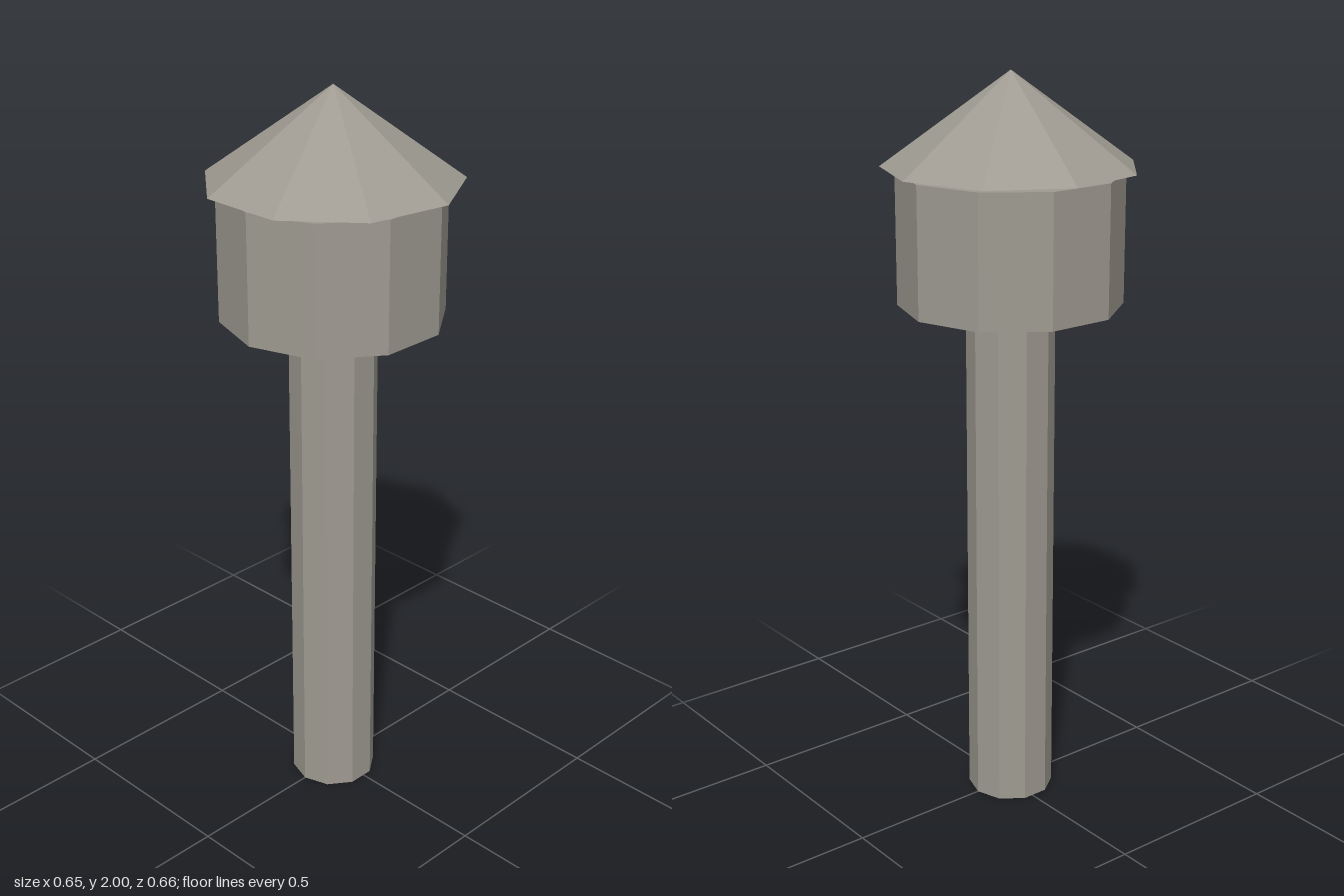
import * as THREE from 'three';

export function createModel() {
  const group = new THREE.Group();
  const stone = new THREE.MeshStandardMaterial({ color: 0x9f9b92 });
  stone.name = 'warmGrey';

  // Upright faceted prism or cone with one corner pointing to +x
  function addPart(name, topRadius, bottomRadius, bottom, top, sides) {
    const geometry = new THREE.CylinderGeometry(
      topRadius, bottomRadius, top - bottom, sides, 1, false, Math.PI / 2
    ).toNonIndexed();
    geometry.computeVertexNormals(); // one normal per facet
    const mesh = new THREE.Mesh(geometry, stone);
    mesh.name = name;
    mesh.position.set(-0.01, (bottom + top) / 2, 0);
    group.add(mesh);
  }

  addPart('post', 0.117, 0.117, 0, 1.4, 10);
  addPart('housing', 0.295, 0.295, 1.4, 1.745, 10);
  // The cap floats just above the housing
  addPart('roof', 0, 0.335, 1.757, 2, 9);

  return group;
}
